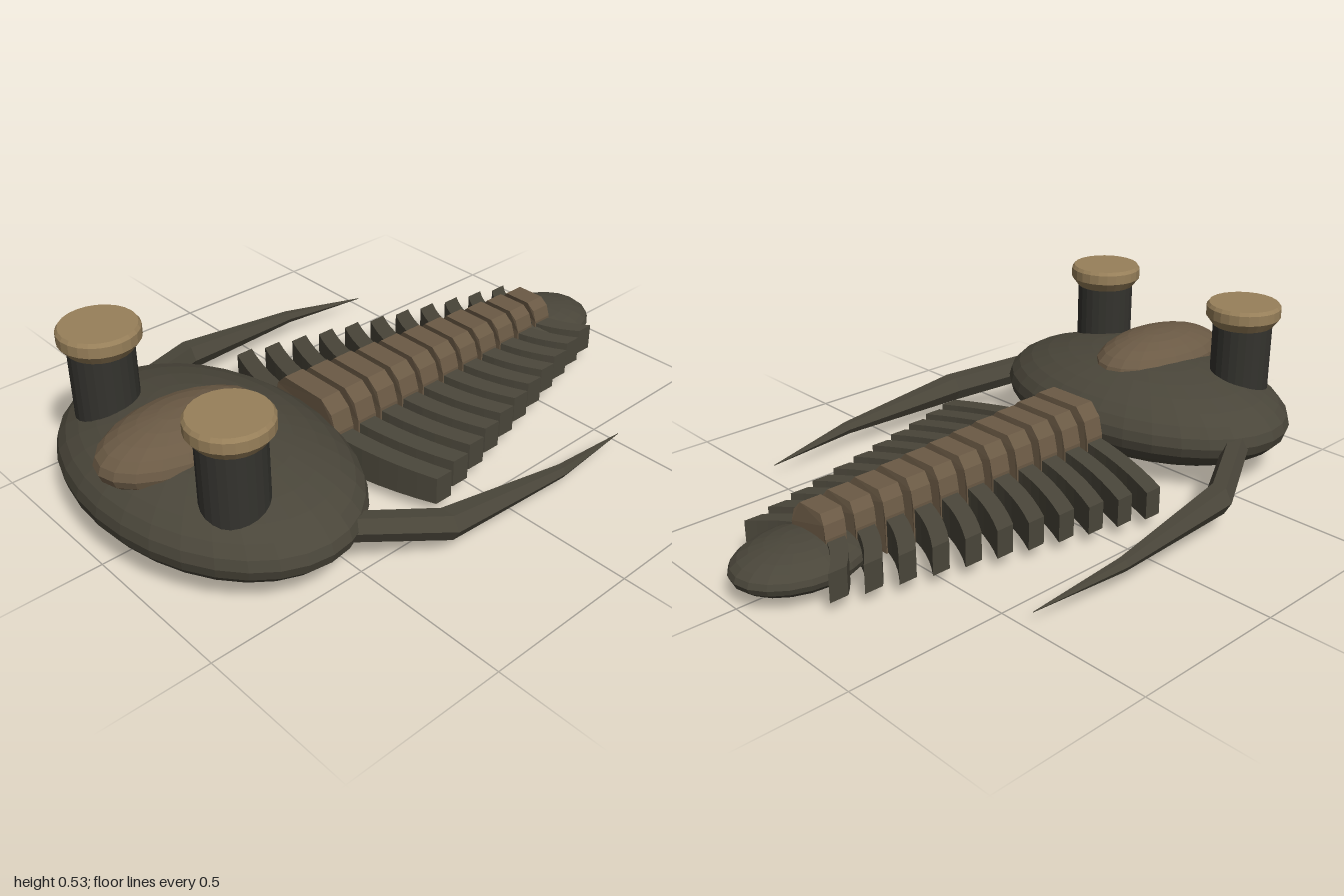
import * as THREE from 'three';

const mat = (color, extra = {}) => new THREE.MeshStandardMaterial({ color, flatShading: true, ...extra });
const SHELL = mat(0x4a463a);
const DARK = mat(0x34332e);
const BROWN = mat(0x6b5a45);
const TAN = mat(0x98805a);

function add(parent, name, geometry, material) {
  const mesh = new THREE.Mesh(geometry, material);
  mesh.name = name;
  parent.add(mesh);
  return mesh;
}

function ellipsoid(parent, name, material, center, radii, w = 24, h = 16) {
  const mesh = add(parent, name, new THREE.SphereGeometry(1, w, h), material);
  mesh.position.set(...center);
  mesh.scale.set(...radii);
}

// Moves every vertex of a geometry by a rule
function warp(geometry, rule) {
  const p = geometry.attributes.position;
  const v = new THREE.Vector3();
  for (let i = 0; i < p.count; i++) {
    rule(v.fromBufferAttribute(p, i));
    p.setXYZ(i, v.x, v.y, v.z);
  }
  geometry.computeVertexNormals();
  return geometry;
}

// Tapered spine: six-sided rings at [x, y, z, radius], listed front to back
function spineGeometry(stations, side, sides = 6) {
  const pos = [], index = [];
  for (const [x, y, z, r] of stations) {
    for (let i = 0; i < sides; i++) {
      const a = (i / sides) * Math.PI * 2;
      pos.push(side * (x + r * Math.cos(a)), y + r * Math.sin(a), z);
    }
  }
  for (let s = 0; s < stations.length - 1; s++) {
    for (let i = 0; i < sides; i++) {
      const a = s * sides + i, b = s * sides + (i + 1) % sides;
      const c = a + sides, d = b + sides;
      if (side > 0) index.push(a, c, b, b, c, d);
      else index.push(a, b, c, b, d, c);
    }
  }
  const g = new THREE.BufferGeometry();
  g.setAttribute('position', new THREE.Float32BufferAttribute(pos, 3));
  g.setIndex(index);
  g.computeVertexNormals();
  return g;
}

export function createModel() {
  const model = new THREE.Group();
  model.name = 'trilobite';

  // Head shield and its raised central lobe
  ellipsoid(model, 'headShield', SHELL, [0, 0.165, 0.632], [0.545, 0.162, 0.368], 32, 16);
  ellipsoid(model, 'headLobe', BROWN, [0, 0.29, 0.705], [0.163, 0.095, 0.27], 20, 12);

  // Eye stalks with flanged caps, and cheek spines
  const capProfile = [[0, 0.465], [0.097, 0.465], [0.12, 0.495], [0.12, 0.527], [0.112, 0.538], [0, 0.538]]
    .map(([r, y]) => new THREE.Vector2(r, y));
  const spine = [
    [0.46, 0.165, 0.56, 0.045], [0.604, 0.108, 0.28, 0.048],
    [0.63, 0.075, -0.17, 0.021], [0.601, 0.046, -0.485, 0.001],
  ];
  for (const side of [1, -1]) {
    const name = side > 0 ? 'left' : 'right';
    const eye = new THREE.Group();
    eye.name = name + 'Eye';
    eye.position.set(side * 0.302, 0, 0.757);
    const stalk = add(eye, 'eyeStalk', new THREE.CylinderGeometry(0.096, 0.096, 0.3, 24), DARK);
    stalk.position.y = 0.325;
    add(eye, 'eyeCap', new THREE.LatheGeometry(capProfile, 24), TAN);
    model.add(eye);
    add(model, name + 'CheekSpine', spineGeometry(spine, side), SHELL);
  }

  // Body segments: swept-back ribs crossed by an arched central ring
  const COUNT = 11;
  for (let i = 0; i < COUNT; i++) {
    const t = i / (COUNT - 1);
    const half = 0.464 - 0.263 * t;
    const ringHalf = 0.14 - 0.06 * t;
    const top = 0.262 - 0.047 * t;
    const shoulder = 0.165 - 0.015 * t;
    const sweep = x => -0.1 * (x / half) ** 2;

    const segment = new THREE.Group();
    segment.name = 'bodySegment' + (i + 1);
    segment.position.z = 0.248 - 0.0955 * i;

    const rib = warp(new THREE.BoxGeometry(2, 1, 0.06, 16, 1, 1), v => {
      const u = Math.abs(v.x);
      v.x *= half;
      v.y = v.y > 0 ? THREE.MathUtils.lerp(shoulder, 0.13, u) : 0.042;
      v.z += sweep(v.x);
    });
    add(segment, 'rib', rib, SHELL);

    const arch = new THREE.Shape([
      [-1, 0.038], [1, 0.038], [1, shoulder], [0.88, shoulder + (top - shoulder) * 0.6], [0.6, top],
      [-0.6, top], [-0.88, shoulder + (top - shoulder) * 0.6], [-1, shoulder],
    ].map(([x, y]) => new THREE.Vector2(x * ringHalf, y)));
    const ring = new THREE.ExtrudeGeometry(arch, { depth: 0.07, bevelEnabled: false });
    ring.translate(0, 0, -0.035);
    add(segment, 'axisRing', warp(ring, v => { v.z += sweep(v.x); }), BROWN);
    model.add(segment);
  }

  // Tail shield
  ellipsoid(model, 'tailShield', SHELL, [0, 0.08, -0.787], [0.16, 0.068, 0.213], 20, 12);
  return model;
}
